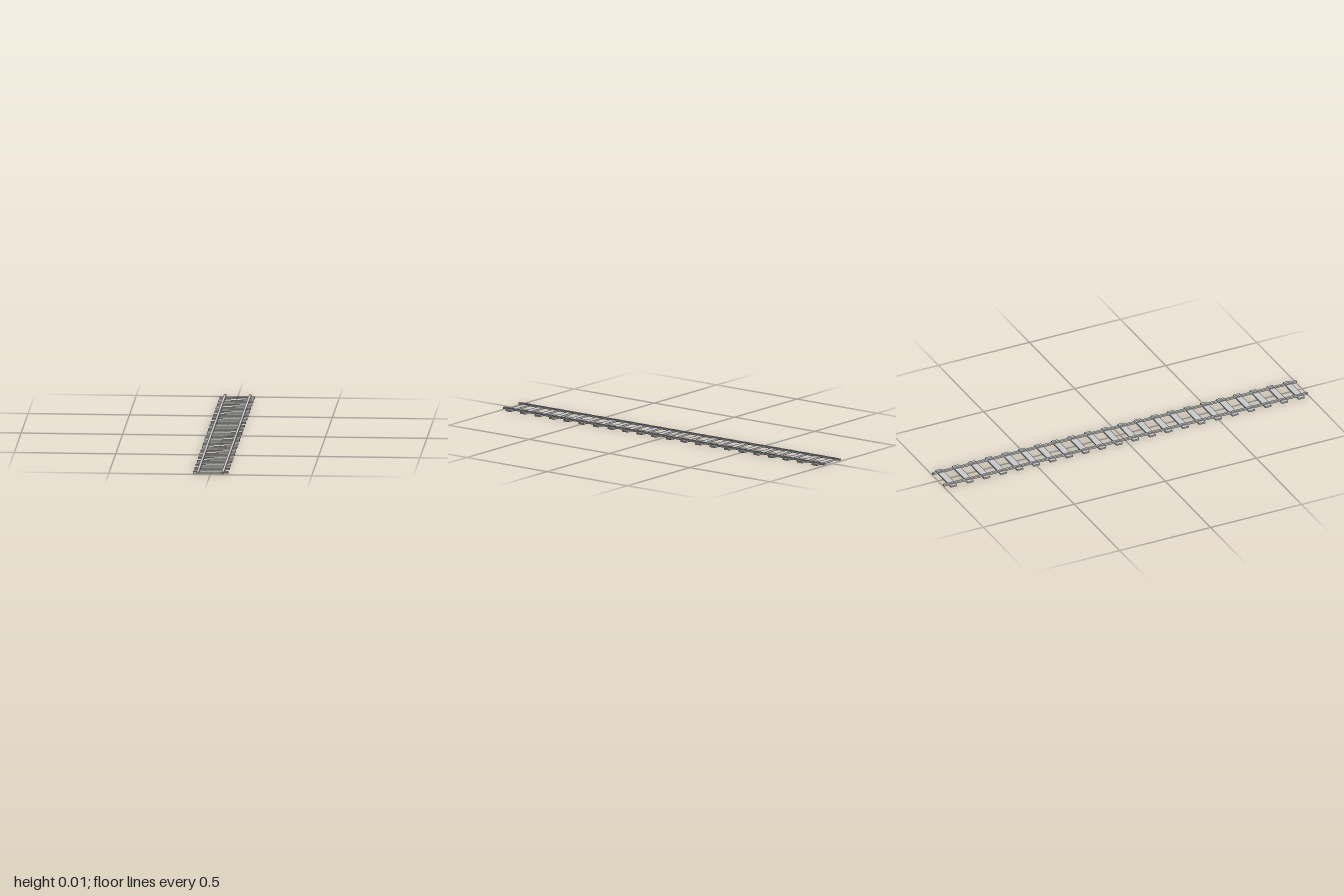
import * as THREE from 'three';

const LENGTH = 2;
const SLEEPERS = 22;
const SLEEPER = { width: 0.173, height: 0.008, depth: 0.034 };
const RAIL = { width: 0.012, bottom: 0.004, top: 0.013, x: 0.0617 };

export function createModel() {
  const track = new THREE.Group();
  track.name = 'railwayTrack';
  const material = new THREE.MeshStandardMaterial({ color: 0xcccccc, flatShading: true });

  // Evenly spaced cross sleepers resting on the ground
  const sleepers = new THREE.Group();
  sleepers.name = 'sleepers';
  const sleeperGeometry = new THREE.BoxGeometry(SLEEPER.width, SLEEPER.height, SLEEPER.depth);
  const spacing = LENGTH / SLEEPERS;
  for (let i = 0; i < SLEEPERS; i++) {
    const sleeper = new THREE.Mesh(sleeperGeometry, material);
    sleeper.name = `sleeper${i + 1}`;
    sleeper.position.set(0, SLEEPER.height / 2, -LENGTH / 2 + (i + 0.5) * spacing);
    sleepers.add(sleeper);
  }
  track.add(sleepers);

  // Pair of rails let into the upper half of the sleepers
  const railGeometry = new THREE.BoxGeometry(RAIL.width, RAIL.top - RAIL.bottom, LENGTH);
  for (const side of [1, -1]) {
    const rail = new THREE.Mesh(railGeometry, material);
    rail.name = side > 0 ? 'leftRail' : 'rightRail';
    rail.position.set(side * RAIL.x, (RAIL.bottom + RAIL.top) / 2, 0);
    track.add(rail);
  }

  return track;
}
